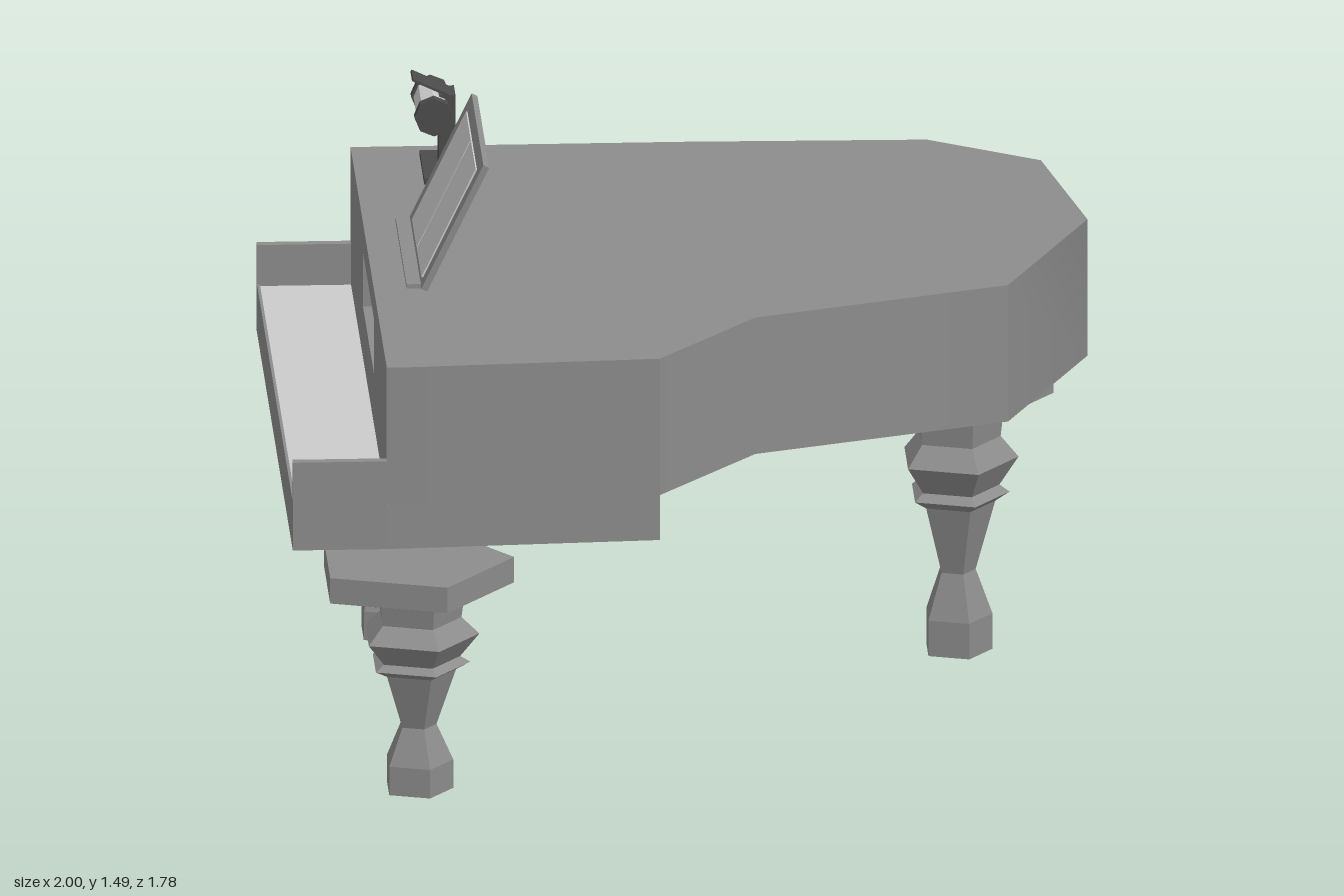
import * as THREE from 'three';
import { toCreasedNormals } from 'three/addons/utils/BufferGeometryUtils.js';

const paint = (color, flatShading = true) => new THREE.MeshStandardMaterial({ color, flatShading });
const body = paint(0x8c8c8c);
const smoothBody = paint(0x8c8c8c, false);
const pale = paint(0xcccccc);
const panelGrey = paint(0xc0c0c0);
const dark = paint(0x4b4b4b);

function add(parent, name, material, geometry, x = 0, y = 0, z = 0) {
  const mesh = new THREE.Mesh(geometry, material);
  mesh.name = name;
  mesh.position.set(x, y, z);
  parent.add(mesh);
  return mesh;
}

// Box given by its extents on each axis
function addBox(parent, name, material, [x0, x1], [y0, y1], [z0, z1]) {
  const g = new THREE.BoxGeometry(x1 - x0, y1 - y0, z1 - z0);
  return add(parent, name, material, g, (x0 + x1) / 2, (y0 + y1) / 2, (z0 + z1) / 2);
}

// Floor-plan outline of [x, z] corners raised from y0 to y1
function slab(plan, y0, y1) {
  const shape = new THREE.Shape(plan.map(([x, z]) => new THREE.Vector2(x, -z)));
  return new THREE.ExtrudeGeometry(shape, { depth: y1 - y0, bevelEnabled: false })
    .rotateX(-Math.PI / 2).translate(0, y0, 0);
}

function rectangle(target, x0, x1, y0, y1) {
  target.moveTo(x0, y0);
  target.lineTo(x1, y0);
  target.lineTo(x1, y1);
  target.lineTo(x0, y1);
  target.closePath();
  return target;
}

// Five-sided turned leg: a column and a wide plate set slightly to one side
const column = [
  [0, 0], [0.088, 0], [0.088, 0.073], [0.047, 0.165], [0.095, 0.305], [0.13, 0.323],
  [0.105, 0.338], [0.152, 0.395], [0.108, 0.438], [0.115, 0.488],
];
const plate = [[0.115, 0.488], [0.253, 0.525], [0.253, 0.59], [0, 0.59]];

function addLeg(parent, name, x, z, height) {
  const leg = new THREE.Group();
  leg.name = name;
  leg.position.set(x, 0, z);
  const turned = (profile) => new THREE.LatheGeometry(
    profile.map(([r, y]) => new THREE.Vector2(r, y * height / 0.59)), 5, Math.PI / 2);
  add(leg, 'legColumn', body, turned(column), 0.01);
  add(leg, 'legPlate', body, turned(plate), -0.006);
  parent.add(leg);
}

export function createModel() {
  const piano = new THREE.Group();
  piano.name = 'grandPiano';

  // Curved case
  add(piano, 'case', smoothBody, toCreasedNormals(slab([
    [-0.67, -0.89], [0.05, -0.892], [0.64, -0.88], [0.91, -0.7], [1, -0.22],
    [0.78, 0.3], [0.15, 0.53], [-0.1, 0.85], [-0.67, 0.885],
  ], 0.815, 1.165), 0.7));

  // Front board with a shallow pocket above the keys
  const board = rectangle(new THREE.Shape(), -0.89, 0.888, 0.815, 1.165);
  board.holes.push(rectangle(new THREE.Path(), -0.28, 0.25, 0.95, 1.09));
  add(piano, 'frontBoard', body, new THREE.ExtrudeGeometry(board, { depth: 0.1, bevelEnabled: false })
    .rotateY(-Math.PI / 2).translate(-0.67, 0, 0));

  // Key bed, keyboard, front lip and cheeks
  add(piano, 'keyBed', body, slab([
    [-1, -0.89], [-0.2, -0.89], [-0.1, 0.85], [-0.77, 0.89], [-1, 0.89],
  ], 0.7, 0.815));
  addBox(piano, 'keyboard', pale, [-0.993, -0.77], [0.815, 0.82], [-0.865, 0.865]);
  addBox(piano, 'keyLip', body, [-1, -0.993], [0.815, 0.824], [-0.865, 0.865]);
  addBox(piano, 'rightCheek', body, [-1, -0.77], [0.815, 0.925], [-0.89, -0.865]);
  addBox(piano, 'leftCheek', body, [-1, -0.77], [0.815, 0.925], [0.865, 0.89]);

  // Legs
  addLeg(piano, 'keyboardLegLeft', -0.692, 0.623, 0.59);
  addLeg(piano, 'keyboardLegRight', -0.692, -0.628, 0.59);
  addLeg(piano, 'tailLeg', 0.68, -0.43, 0.735);

  // Music stand: leaning board, two raised panels and a ledge
  const stand = new THREE.Group();
  stand.name = 'musicStand';
  stand.position.set(-0.65, 1.168, -0.012);
  stand.rotation.z = -0.45;
  addBox(stand, 'standBoard', body, [-0.006, 0.01], [0, 0.35], [-0.29, 0.29]);
  for (const z of [-0.111, 0.126]) {
    addBox(stand, 'standPanel', panelGrey, [-0.01, -0.004], [0.015, 0.32], [z - 0.115, z + 0.115]);
  }
  piano.add(stand);
  addBox(piano, 'standLedge', body, [-0.69, -0.655], [1.165, 1.176], [-0.285, 0.255]);

  // Small lamp
  const lamp = new THREE.Group();
  lamp.name = 'lamp';
  addBox(lamp, 'lampBase', dark, [-0.605, -0.485], [1.165, 1.18], [-0.81, -0.58]);
  addBox(lamp, 'lampPost', dark, [-0.565, -0.525], [1.18, 1.37], [-0.732, -0.655]);
  const drum = (name, material, radius, length, z) => add(lamp, name, material,
    new THREE.CylinderGeometry(radius, radius, length, 8).rotateX(Math.PI / 2), -0.58, 1.33, z);
  drum('lampBulb', pale, 0.042, 0.17, -0.697);
  for (const z of [-0.612, -0.782]) drum('lampCap', dark, 0.048, 0.028, z);
  const flap = add(lamp, 'lampShade', dark, new THREE.BoxGeometry(0.106, 0.006, 0.077), -0.582, 1.387, -0.693);
  flap.rotation.z = -0.44;
  piano.add(lamp);

  return piano;
}
